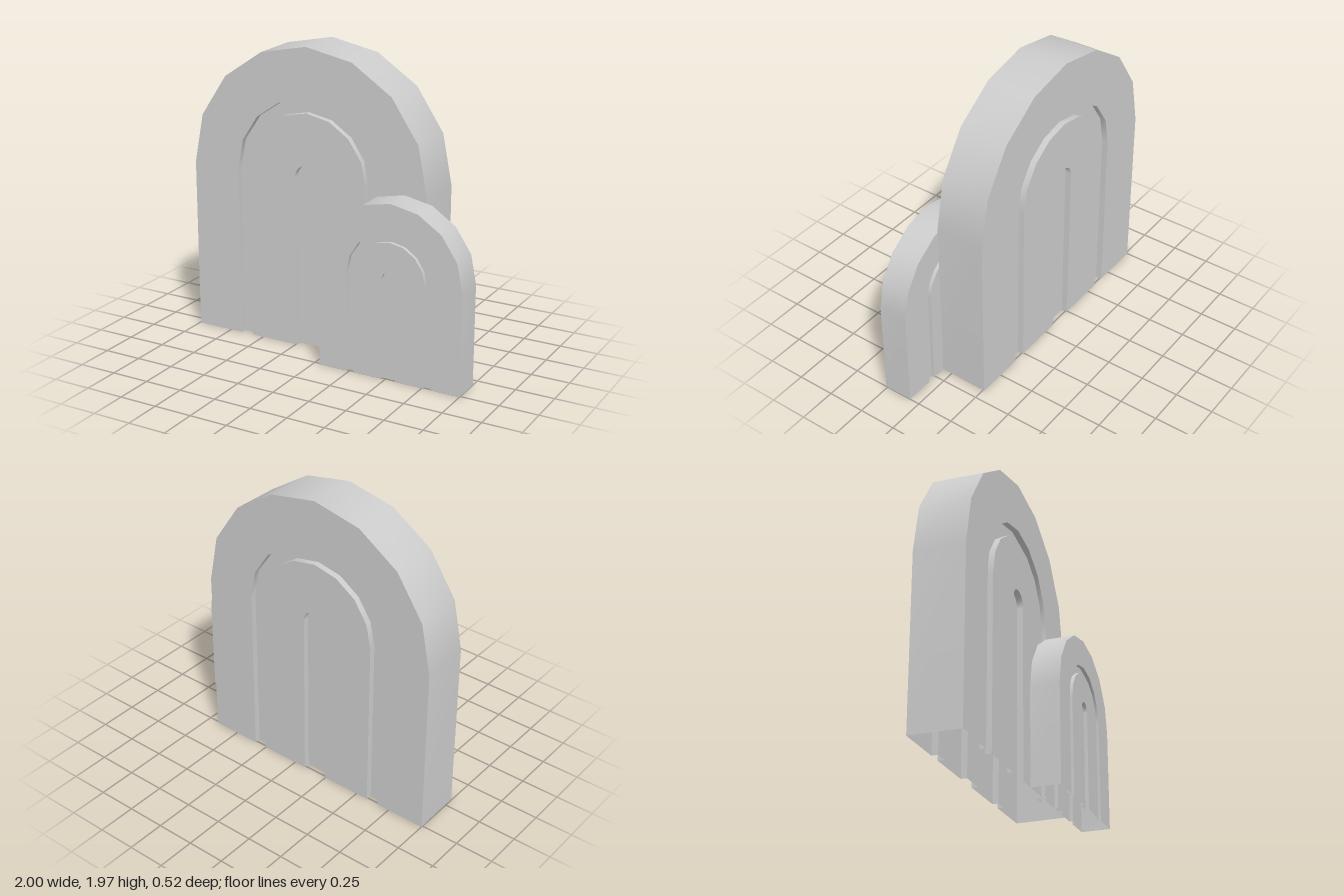
import * as THREE from 'three';
import { mergeGeometries } from 'three/addons/utils/BufferGeometryUtils.js';

const SEGMENTS = 8;

// Arch outline of a given radius: straight legs with a half-round top
function archOutline(r, spring) {
  const points = [[r, 0]];
  for (let i = 0; i <= SEGMENTS; i++) {
    const a = (Math.PI * i) / SEGMENTS;
    points.push([r * Math.cos(a), spring + r * Math.sin(a)]);
  }
  points.push([-r, 0]);
  return points;
}

// Surface between two arch outlines, each given as [radius, z]
function archStrip([r0, z0], [r1, z1], spring) {
  const a = archOutline(r0, spring);
  const b = archOutline(r1, spring);
  const positions = [];
  const index = [];
  a.forEach((p, i) => {
    positions.push(...p, z0, ...b[i], z1);
    if (i === a.length - 1) return;
    const k = i * 2;
    index.push(k, k + 1, k + 3, k, k + 3, k + 2);
  });
  const g = new THREE.BufferGeometry();
  g.setAttribute('position', new THREE.Float32BufferAttribute(positions, 3));
  g.setIndex(index);
  g.computeVertexNormals();
  return g;
}

// Sweeps a [radius, z] profile over the arch with sharp edges between strips
function archSurface(profile, spring) {
  const strips = [];
  for (let i = 0; i < profile.length - 1; i++) {
    strips.push(archStrip(profile[i], profile[i + 1], spring));
  }
  return mergeGeometries(strips);
}

// Panel profile from the centre slot outwards; inward is the recess direction
function panelProfile(o, radius, z, inward) {
  const deep = z + inward * o.depth;
  return [
    [0, deep], [o.slot, deep], [o.slot, z],
    [o.grooveInner, z], [o.grooveInner, deep],
    [o.grooveOuter, deep], [o.grooveOuter, z],
    [radius, z],
  ];
}

// Hollow arch, open underneath, with grooved panels on both faces
function makeArch(name, o, material) {
  const arch = new THREE.Group();
  arch.name = name;
  const add = (part, profile) => {
    const mesh = new THREE.Mesh(archSurface(profile, o.spring), material);
    mesh.name = part;
    arch.add(mesh);
  };
  add('frontPanel', panelProfile(o, o.frontRadius, o.front, -1));
  add('rim', [[o.frontRadius, o.front], [o.backRadius, o.back]]);
  add('backPanel', panelProfile(o, o.backRadius, o.back, 1).reverse());
  arch.position.x = o.x;
  return arch;
}

export function createModel() {
  const material = new THREE.MeshStandardMaterial({ color: 0xcccccc, side: THREE.DoubleSide });
  const model = new THREE.Group();
  model.name = 'doubleArch';

  // Tall arch behind, tapering very slightly towards the front
  model.add(makeArch('largeArch', {
    x: -0.163, spring: 1.13, frontRadius: 0.831, backRadius: 0.837,
    grooveOuter: 0.502, grooveInner: 0.418, slot: 0.083, depth: 0.04,
    front: 0.068, back: -0.26,
  }, material));

  // Small arch in front, to one side
  model.add(makeArch('smallArch', {
    x: 0.52, spring: 0.65, frontRadius: 0.48, backRadius: 0.48,
    grooveOuter: 0.29, grooveInner: 0.238, slot: 0.05, depth: 0.024,
    front: 0.26, back: 0.068,
  }, material));

  return model;
}
